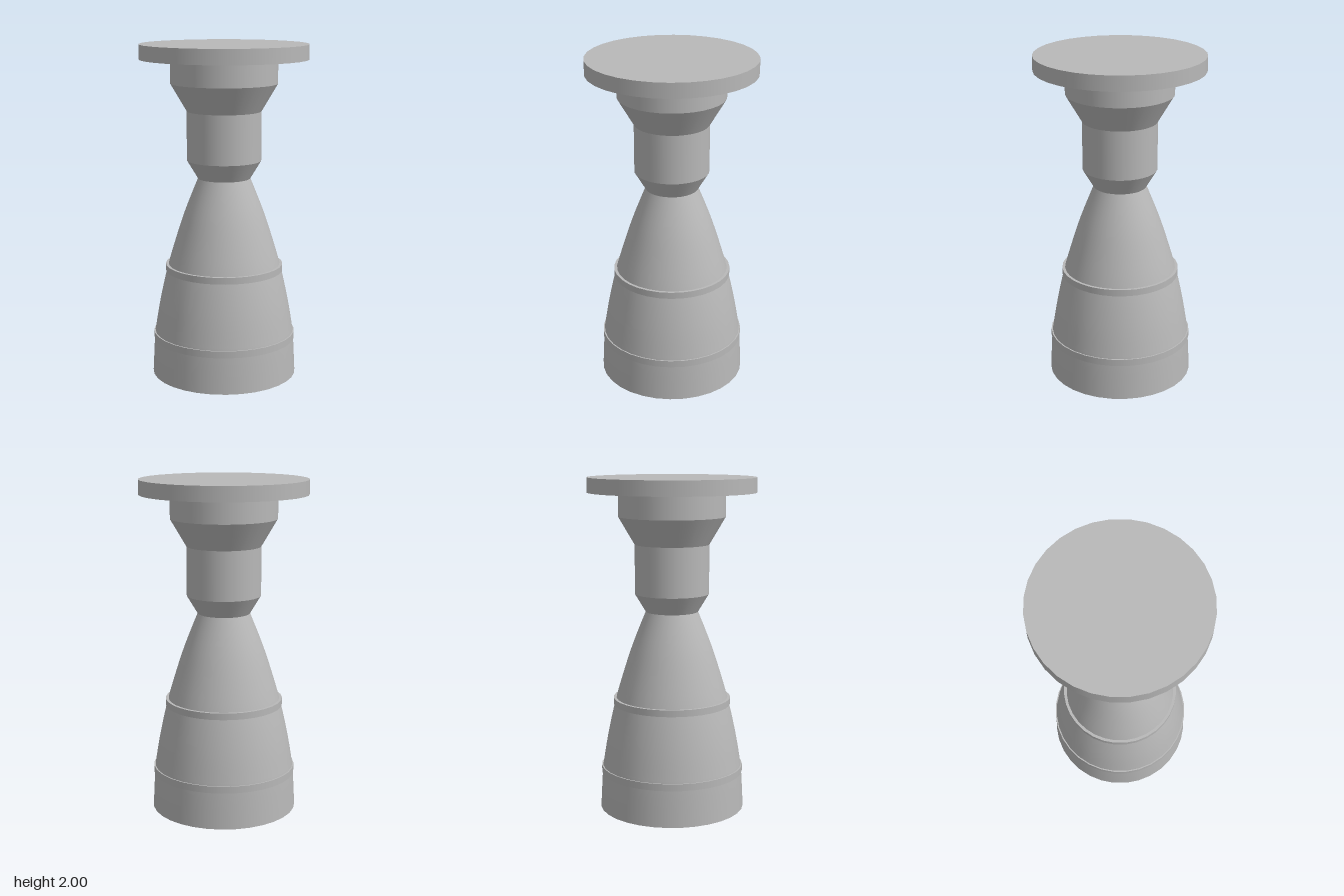
import * as THREE from 'three';

const SEGMENTS = 32;

export function createModel() {
  const group = new THREE.Group();
  const metal = new THREE.MeshStandardMaterial({ color: 0xb8b8b8 });
  metal.name = 'grey metal';

  const add = (name, geometry, y = 0) => {
    const mesh = new THREE.Mesh(geometry, metal);
    mesh.name = name;
    mesh.position.y = y;
    group.add(mesh);
  };
  // Round section between two heights
  const section = (name, y0, r0, y1, r1, open = true) =>
    add(name, new THREE.CylinderGeometry(r1, r0, y1 - y0, SEGMENTS, 1, open), (y0 + y1) / 2);

  // Mounting plate and combustion chamber
  section('mountingPlate', 1.912, 0.5, 2, 0.5, false);
  section('injectorHead', 1.77, 0.318, 1.912, 0.318);
  section('upperTaper', 1.607, 0.222, 1.77, 0.318);
  section('chamber', 1.313, 0.222, 1.607, 0.222);
  section('throatTaper', 1.205, 0.157, 1.313, 0.222, false);

  // Bell nozzle: thin wall with outer skin, inner skin and rim
  const curve = new THREE.SplineCurve([
    [0.438, 0], [0.426, 0.22], [0.416, 0.3], [0.388, 0.46],
    [0.348, 0.64], [0.303, 0.8], [0.238, 1.0], [0.157, 1.205],
  ].map(([r, y]) => new THREE.Vector2(r, y)));
  const outer = curve.getPoints(28);
  const wall = 0.01;
  const inner = outer.map((p) => new THREE.Vector2(p.x - wall, p.y)).reverse();
  add('bellOuter', new THREE.LatheGeometry(outer, SEGMENTS));
  add('bellInner', new THREE.LatheGeometry(inner, SEGMENTS));
  const rim = new THREE.RingGeometry(0.438 - wall, 0.438, SEGMENTS);
  rim.rotateX(Math.PI / 2);
  add('bellRim', rim);

  // Stiffening bands: side wall with flat ledges above and below
  for (const [name, y0, y1, r] of [['upperBand', 0.642, 0.682, 0.354], ['lowerBand', 0.22, 0.262, 0.43]]) {
    section(name, y0, r, y1, r);
    for (const [y, turn] of [[y1, -1], [y0, 1]]) {
      const ledge = new THREE.RingGeometry(r - 0.022, r, SEGMENTS);
      ledge.rotateX(turn * Math.PI / 2);
      // Keep the inner edge inside the bell wall
      add(name + 'Ledge', ledge, y);
      if (turn === 1) ledge.scale(1, 1, 1);
    }
  }
  // Lower ledges must not show inside the bell, so trim them to the wall
  group.children.filter((m) => m.name.endsWith('Ledge')).forEach((m) => {
    const p = m.geometry.attributes.position;
    const profile = outer.reduce((a, b) =>
      Math.abs(b.y - m.position.y) < Math.abs(a.y - m.position.y) ? b : a);
    const limit = profile.x - wall * 0.5;
    for (let i = 0; i < p.count; i++) {
      const r = Math.hypot(p.getX(i), p.getZ(i));
      if (r < limit) p.setXYZ(i, (p.getX(i) * limit) / r, p.getY(i), (p.getZ(i) * limit) / r);
    }
  });
  return group;
}
